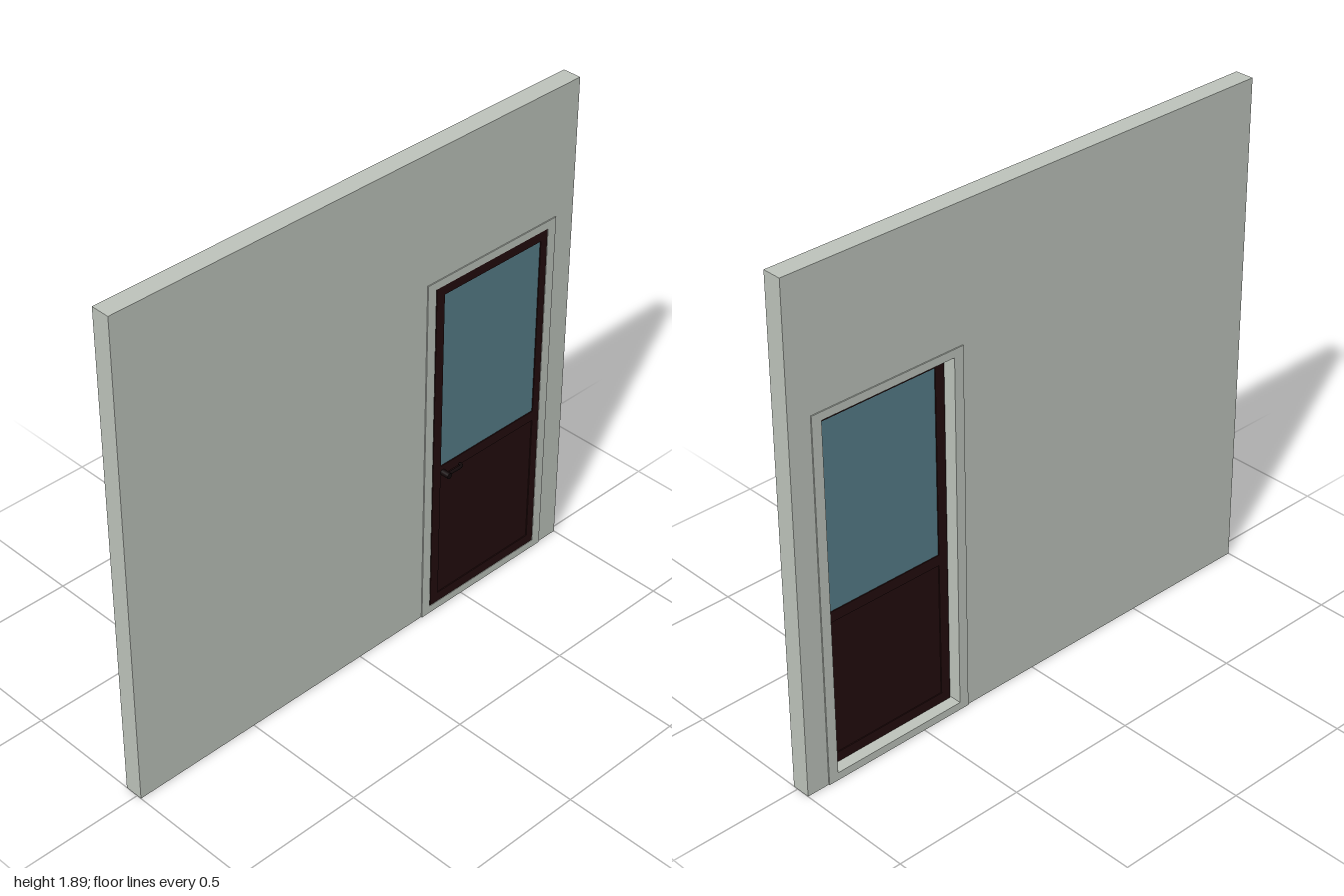
import * as THREE from 'three';

const material = (name, color) => {
  const m = new THREE.MeshStandardMaterial({ color });
  m.name = name;
  return m;
};

// Rectangle path from its edges
function rect(Type, x0, x1, y0, y1) {
  const p = new Type();
  p.moveTo(x0, y0);
  p.lineTo(x1, y0);
  p.lineTo(x1, y1);
  p.lineTo(x0, y1);
  p.closePath();
  return p;
}

// Rectangular slab from z0 to z1 with optional rectangular openings
function slab(name, mat, outer, holes, z0, z1) {
  const shape = rect(THREE.Shape, ...outer);
  holes.forEach(h => shape.holes.push(rect(THREE.Path, ...h)));
  const geo = new THREE.ExtrudeGeometry(shape, { depth: z1 - z0, bevelEnabled: false });
  geo.translate(0, 0, z0);
  const mesh = new THREE.Mesh(geo, mat);
  mesh.name = name;
  return mesh;
}

export function createModel() {
  const plaster = material('plaster', 0xbdc3bb);
  const wood = material('dark wood', 0x230c0d);
  const glass = material('glass', 0x567d89);
  const metal = material('dark metal', 0x120809);

  const model = new THREE.Group();
  model.name = 'wallWithDoor';

  // Wall with the door opening
  const opening = [0.34, 0.875, 0.03, 1.37];
  const front = 0.019, back = -0.052;
  model.add(slab('wall', plaster, [-1, 1, 0, 1.895], [opening], back, front));

  // Thin casing around the opening on both faces
  const casing = [0.302, 0.913, 0, 1.4];
  model.add(slab('frontCasing', plaster, casing, [opening], front, front + 0.004));
  model.add(slab('backCasing', plaster, casing, [opening], back - 0.004, back));

  // Door leaf: frame, window and lower panel
  const door = new THREE.Group();
  door.name = 'door';
  const pane = [0.382, 0.844, 0.628, 1.332];
  const panel = [0.382, 0.844, 0.068, 0.588];
  const doorBack = -0.012, doorFront = 0.021;
  door.add(slab('doorFrame', wood, [0.345, 0.875, 0.03, 1.37], [pane, panel], doorBack, doorFront));
  door.add(slab('windowPane', glass, pane, [], doorBack + 0.004, doorFront - 0.004));
  door.add(slab('lowerPanel', wood, panel, [], doorBack + 0.004, doorFront - 0.004));
  model.add(door);

  // Lever handle on the front: rose, neck and lever with a returned tip
  const handle = new THREE.Group();
  handle.name = 'handle';
  const y = 0.6;
  const rose = new THREE.Mesh(new THREE.CylinderGeometry(0.011, 0.011, 0.034, 16), metal);
  rose.name = 'handleNeck';
  rose.rotation.x = Math.PI / 2;
  rose.position.set(0.392, y, 0.038);
  const path = new THREE.CatmullRomCurve3([
    [0.39, 0.043], [0.42, 0.043], [0.455, 0.043], [0.465, 0.04], [0.468, 0.032],
  ].map(([x, z]) => new THREE.Vector3(x, y, z)));
  const lever = new THREE.Mesh(new THREE.TubeGeometry(path, 16, 0.006, 10), metal);
  lever.name = 'handleLever';
  const tip = new THREE.Mesh(new THREE.SphereGeometry(0.006, 10, 8), metal);
  tip.name = 'handleTip';
  tip.position.set(0.468, y, 0.032);
  handle.add(rose, lever, tip);
  model.add(handle);

  return model;
}
